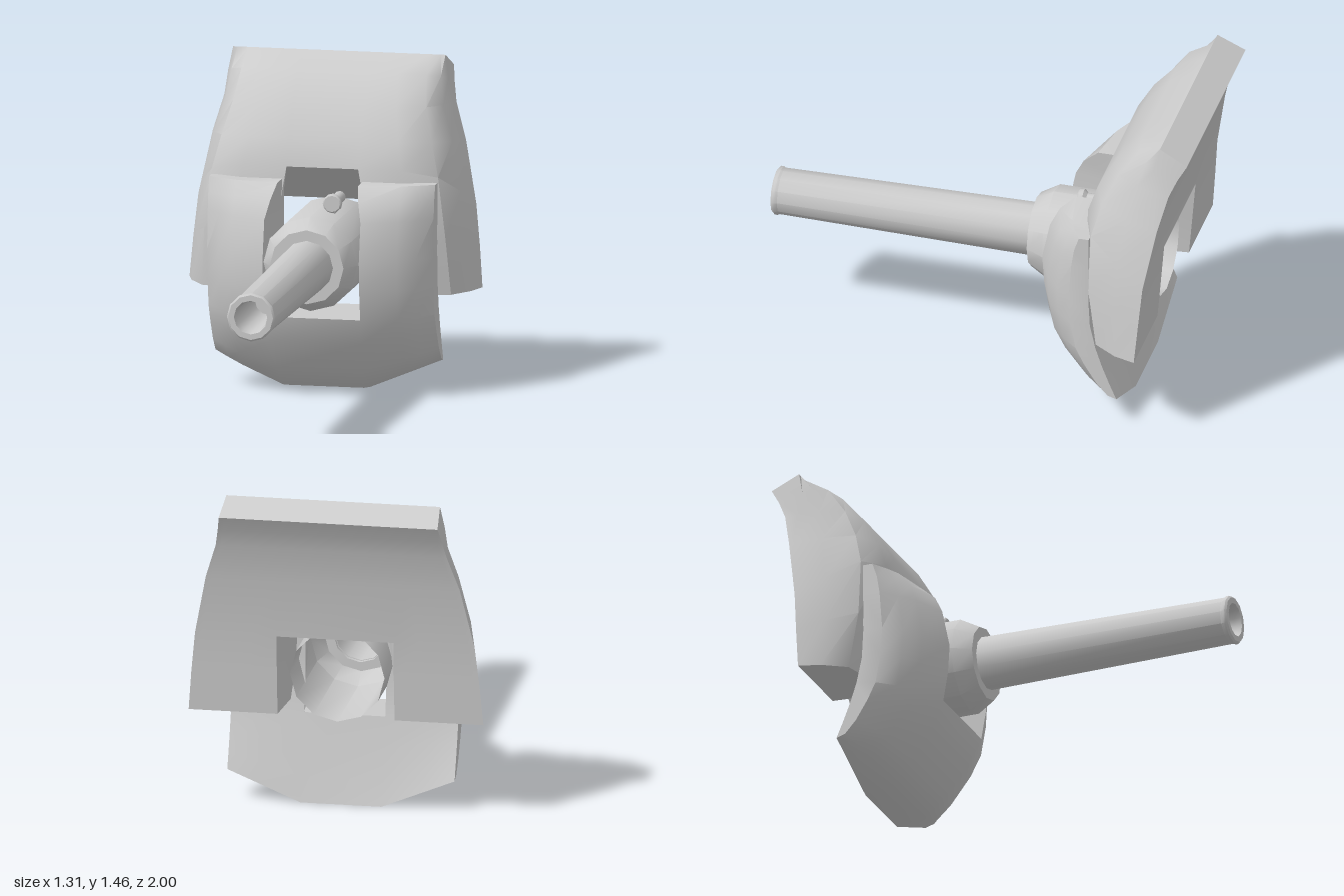
import * as THREE from 'three';
import { toCreasedNormals } from 'three/addons/utils/BufferGeometryUtils.js';

const grey = new THREE.MeshStandardMaterial({ color: 0xcccccc, side: THREE.DoubleSide });
const AXIS_Y = 0.62;

function add(group, name, geometry, x = 0, y = 0, z = 0) {
  const mesh = new THREE.Mesh(geometry, grey);
  mesh.name = name;
  mesh.position.set(x, y, z);
  group.add(mesh);
  return mesh;
}

// Lathe whose profile is [radius, z], turned to run along z
function turned(profile, sides, crease = 0.6) {
  const geo = new THREE.LatheGeometry(profile.map(([r, z]) => new THREE.Vector2(r, z)), sides);
  geo.rotateX(Math.PI / 2);
  return toCreasedNormals(geo, crease);
}

// Piecewise linear lookup in [key, value] pairs with rising keys
function lookup(table, t) {
  for (let i = 1; i < table.length; i++) {
    const [k0, v0] = table[i - 1], [k1, v1] = table[i];
    if (t <= k1) return THREE.MathUtils.lerp(v0, v1, Math.max(0, (t - k0) / (k1 - k0)));
  }
  return table[table.length - 1][1];
}

// Solid plate from front and back point grids; cells that are not filled become openings
function plate(rows, cols, front, back, filled) {
  const out = [];
  const quad = (a, b, c, d) => out.push(...a, ...b, ...c, ...a, ...c, ...d);
  const solid = (i, j) => i >= 0 && j >= 0 && i < rows - 1 && j < cols - 1 && filled(i, j);
  for (let i = 0; i < rows - 1; i++) {
    for (let j = 0; j < cols - 1; j++) {
      if (!solid(i, j)) continue;
      const c = [[i, j], [i, j + 1], [i + 1, j + 1], [i + 1, j]];
      const f = c.map(([a, b]) => front(a, b)), k = c.map(([a, b]) => back(a, b));
      quad(...f);
      quad(k[3], k[2], k[1], k[0]);
      [[i - 1, j], [i, j + 1], [i + 1, j], [i, j - 1]].forEach(([a, b], e) => {
        const n = (e + 1) % 4;
        if (!solid(a, b)) quad(k[e], k[n], f[n], f[e]);
      });
    }
  }
  const geo = new THREE.BufferGeometry();
  geo.setAttribute('position', new THREE.Float32BufferAttribute(out, 3));
  return toCreasedNormals(geo, 0.75);
}

// Tall rear shield: rows are [front y, front z, back y, back z, edge rounding, notch half width]
function rearShield() {
  const rows = [
    [0.44, -0.56, 0.44, -0.80, 1, 0.24],
    [0.72, -0.51, 0.62, -0.815, 1, 0.21],
    [1.00, -0.51, 0.805, -0.83, 1, 0.16],
    [1.12, -0.55, 1.08, -0.88, 0.95, 0.16],
    [1.26, -0.63, 1.24, -0.92, 0.8, 0.16],
    [1.39, -0.74, 1.32, -0.955, 0.5, 0.16],
    [1.455, -0.87, 1.39, -0.995, 0, 0.16],
  ];
  const halfWidth = [[0.44, 0.655], [0.75, 0.63], [1.0, 0.59], [1.25, 0.51], [1.455, 0.475]];
  const across = [-1, -0.955, -0.85, -0.6, 0, 0, 0.6, 0.85, 0.955, 1];
  const depth = [0, 0.4, 0.83, 1, 1, 1, 1, 0.83, 0.4, 0];
  const point = (i, j, d, notch) => {
    const [yf, zf, yb, zb] = rows[i];
    const y = THREE.MathUtils.lerp(yb, yf, d);
    const x = j === 4 ? -notch : j === 5 ? notch : across[j] * lookup(halfWidth, y);
    return [x, y, THREE.MathUtils.lerp(zb, zf, d)];
  };
  return plate(rows.length, across.length,
    (i, j) => point(i, j, 1 - rows[i][4] * (1 - depth[j]), rows[i][5]),
    (i, j) => point(i, j, 0, 0.26),
    (i, j) => !(j === 4 && i < 2));
}

// Bulging front shield: rows are [front y, front z, back y, back z, notch half width]
function frontShield() {
  const rows = [
    [0.02, -0.55, 0.0, -0.68, 0.18],
    [0.11, -0.45, 0.11, -0.65, 0.19],
    [0.25, -0.35, 0.25, -0.615, 0.205],
    [0.37, -0.295, 0.385, -0.585, 0.215],
    [0.50, -0.273, 0.50, -0.56, 0.215],
    [0.63, -0.265, 0.63, -0.553, 0.215],
    [0.80, -0.30, 0.80, -0.555, 0.215],
    [0.88, -0.34, 0.88, -0.555, 0.197],
    [0.945, -0.41, 0.945, -0.555, 0.18],
  ];
  const across = [-0.505, -0.44, -0.37, 0, 0, 0.37, 0.44, 0.505];
  const depth = [0.31, 0.56, 0.77, 1, 1, 0.77, 0.56, 0.31];
  const point = (i, j, isFront) => {
    const [yf, zf, yb, zb, notch] = rows[i];
    const n = isFront ? notch : 0.18;
    const x = j === 3 ? -n : j === 4 ? n : across[j];
    let y = isFront ? yf : yb;
    // lower corners are cut off at a slant
    const lift = Math.max(0, Math.abs(x) - 0.18) * 0.415;
    if (y < 0.37) y += lift * (1 - y / 0.37);
    return [x, y, isFront ? THREE.MathUtils.lerp(zb, zf, depth[j]) : zb];
  };
  return plate(rows.length, across.length,
    (i, j) => point(i, j, true), (i, j) => point(i, j, false),
    (i, j) => !(j === 3 && i >= 3));
}

export function createModel() {
  const model = new THREE.Group();
  model.name = 'gunMount';

  add(model, 'rearShield', rearShield());
  add(model, 'frontShield', frontShield());

  // Hollow barrel with a slightly flared muzzle
  add(model, 'barrel', turned([
    [0.118, -0.2], [0.103, 0.97], [0.108, 0.98], [0.108, 0.992], [0.1, 1.0],
    [0.075, 1.0], [0.068, 0.97], [0.066, 0.6], [0, 0.6],
  ], 12), 0, AXIS_Y);

  // Collar around the barrel, open at the rear
  add(model, 'collar', turned([
    [0.21, -0.77], [0.21, -0.26], [0.165, -0.18], [0.115, -0.18],
  ], 12), 0, AXIS_Y);

  // Small sight tube on a bracket beside the collar
  add(model, 'sight', turned([
    [0, -0.56], [0.026, -0.56], [0.026, -0.43], [0.042, -0.415], [0.042, -0.395], [0.036, -0.39], [0, -0.39],
  ], 12), 0.068, 0.865);
  add(model, 'sightBracket', new THREE.BoxGeometry(0.02, 0.07, 0.08), 0.06, 0.825, -0.48);

  return model;
}
